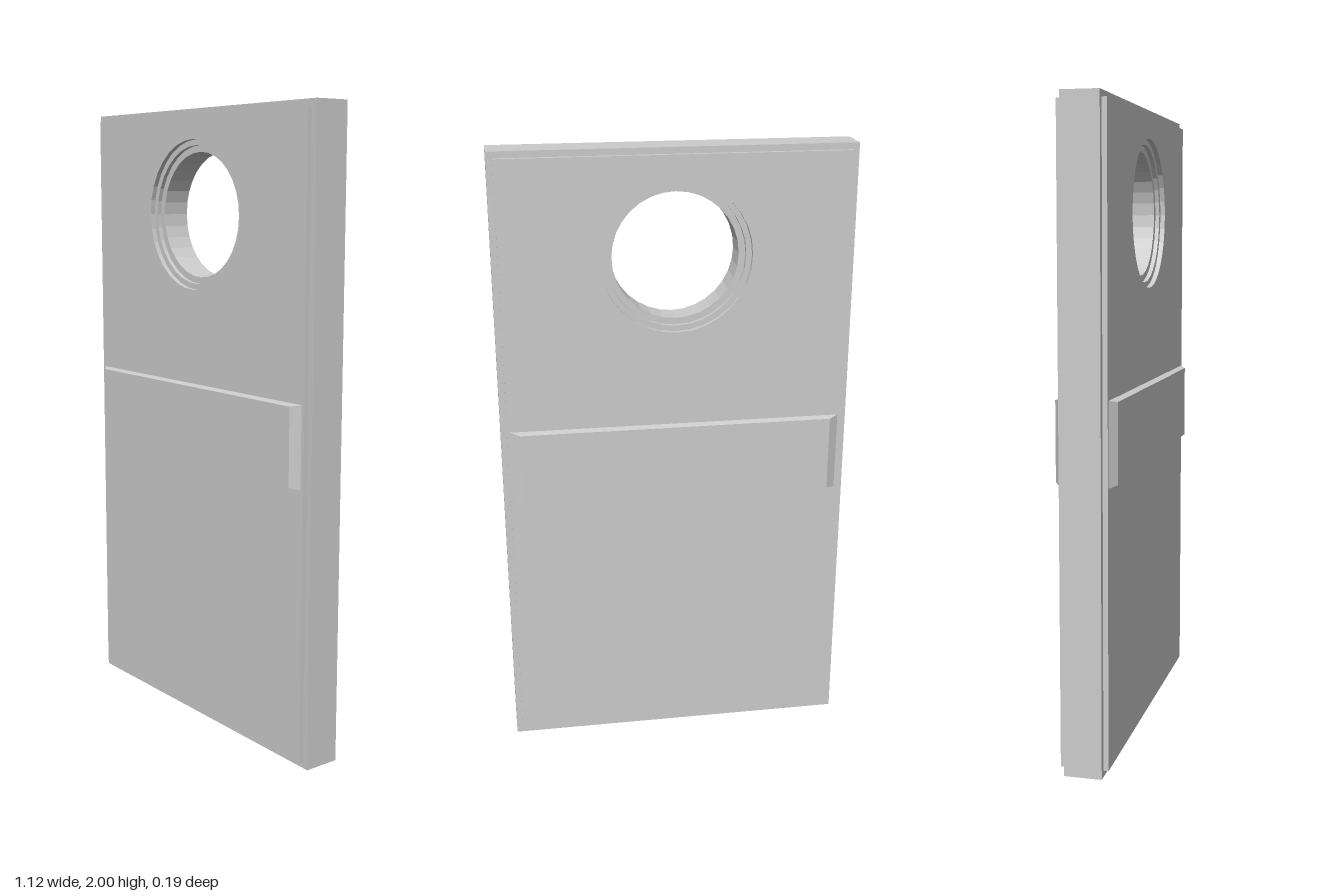
import * as THREE from 'three';

const HOLE_Y = 1.67;
const CORE_Z = 0.0585, PANEL_Z = 0.074, BAR_Z = 0.0945;

const material = new THREE.MeshStandardMaterial({ color: 0xcccccc, flatShading: true });

function part(name, geometry) {
  const mesh = new THREE.Mesh(geometry, material);
  mesh.name = name;
  return mesh;
}

function circle(PathType, radius) {
  return new PathType().absarc(0, HOLE_Y, radius, 0, Math.PI * 2, false);
}

// Extrudes a shape with a round hole between two depths
function slab(shape, holeRadius, z0, z1) {
  shape.holes.push(circle(THREE.Path, holeRadius));
  return new THREE.ExtrudeGeometry(shape, {
    depth: z1 - z0, bevelEnabled: false, curveSegments: 16,
  }).translate(0, 0, z0);
}

function rectangle(halfWidth, y0, y1) {
  return new THREE.Shape([
    new THREE.Vector2(-halfWidth, y0), new THREE.Vector2(halfWidth, y0),
    new THREE.Vector2(halfWidth, y1), new THREE.Vector2(-halfWidth, y1),
  ]);
}

// Box whose outer face is drawn in to give sloping edges
function crossBarGeometry() {
  const geometry = new THREE.BoxGeometry(1.06, 0.256, BAR_Z - PANEL_Z);
  const p = geometry.attributes.position;
  for (let i = 0; i < p.count; i++) {
    if (p.getZ(i) > 0) p.setXY(i, p.getX(i) * 0.5 / 0.53, p.getY(i) * 0.122 / 0.128);
  }
  geometry.translate(0, 1.003, (PANEL_Z + BAR_Z) / 2);
  geometry.computeVertexNormals();
  return geometry;
}

export function createModel() {
  const door = new THREE.Group();
  door.name = 'door';

  // Door core and the recessed lip inside the porthole
  door.add(part('core', slab(rectangle(0.56, 0, 2), 0.218, -CORE_Z, CORE_Z)));
  door.add(part('portholeLip', slab(circle(THREE.Shape, 0.218), 0.197, -0.045, 0.045)));

  // Matching panel and cross bar on each face
  const panel = slab(rectangle(0.54, 0.02, 1.98), 0.236, CORE_Z, PANEL_Z);
  const bar = crossBarGeometry();
  for (const [side, angle] of [['front', 0], ['back', Math.PI]]) {
    const face = new THREE.Group();
    face.name = side + 'Face';
    face.rotation.y = angle;
    face.add(part(side + 'Panel', panel), part(side + 'CrossBar', bar));
    door.add(face);
  }
  return door;
}
